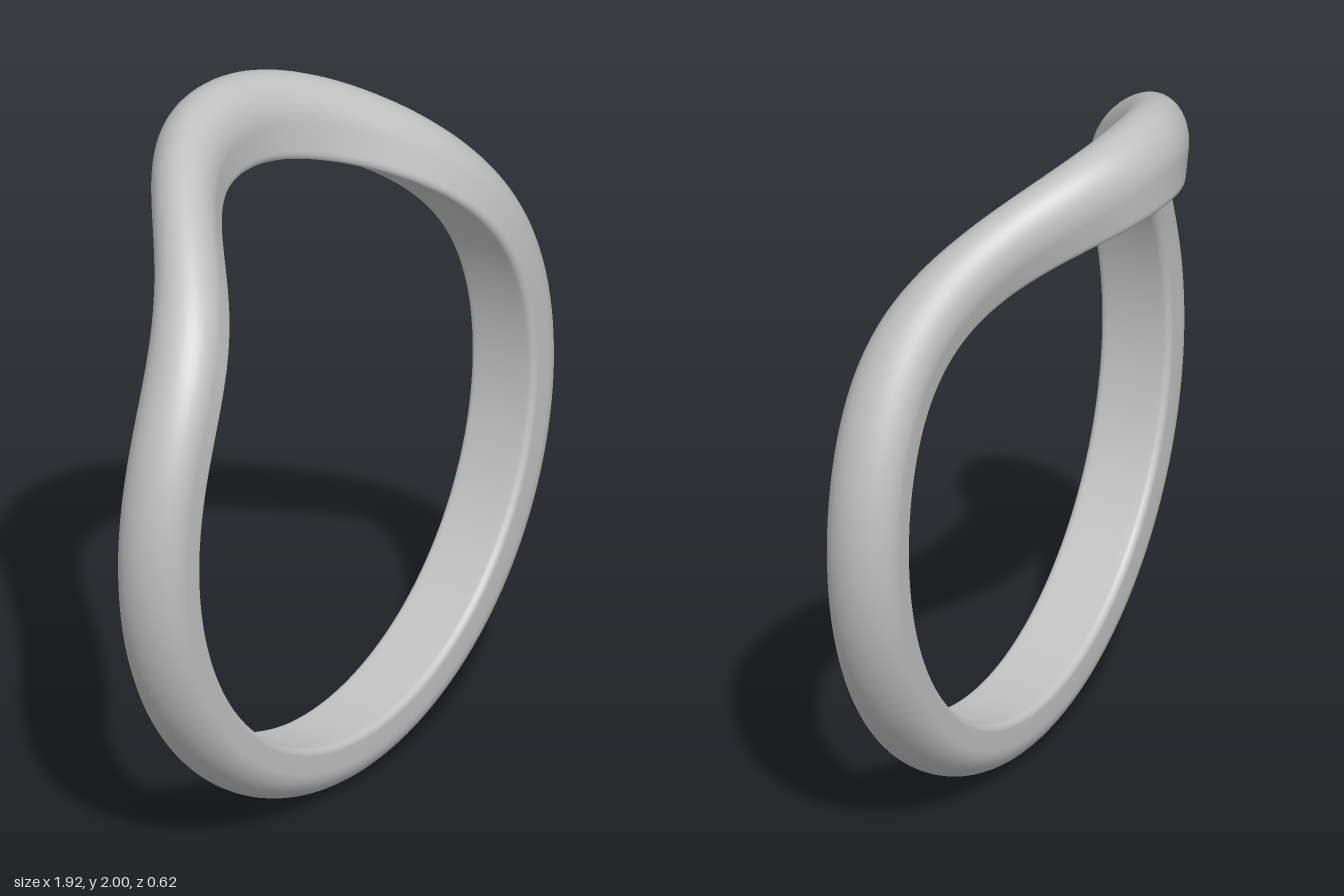
import * as THREE from 'three';

const CENTRE_Y = 0.962, INNER = 0.798, HALF_WIDTH = 0.108;

// Cross-section as [z offset, share of the thickness]: domed outside, flat inside, soft inner edges
function bandProfile() {
  const pts = [];
  for (let k = 0; k <= 20; k++) {
    const a = (k / 20) * Math.PI;
    pts.push([HALF_WIDTH * Math.cos(a), 0.45 + 0.55 * Math.sin(a)]);
  }
  const bz = 0.02, bv = 0.12;
  for (const side of [-1, 1]) {
    for (let k = 0; k <= 4; k++) {
      const a = ((side < 0 ? k : 4 - k) / 4) * Math.PI / 2;
      pts.push([side * (HALF_WIDTH - bz + bz * Math.cos(a)), bv * (1 - Math.sin(a))]);
    }
    if (side < 0) for (const z of [-0.06, 0, 0.06]) pts.push([z, 0]);
  }
  return pts;
}

// Sweep the profile round the ring; the top swings backward and thickens
function bandGeometry(segments = 240) {
  const profile = bandProfile(), n = profile.length;
  const pos = [], index = [];
  for (let i = 0; i < segments; i++) {
    const t = (i / segments) * Math.PI * 2 - Math.PI;
    const bend = Math.exp(-Math.pow(Math.abs(t) / 0.602, 2.2));
    const zMid = 0.2 - 0.4 * bend;
    const thick = 0.162 + 0.078 * bend;
    for (let j = 0; j < n; j++) {
      const r = INNER + thick * profile[j][1];
      pos.push(r * Math.sin(t), CENTRE_Y + r * Math.cos(t), zMid + profile[j][0]);
      const i2 = (i + 1) % segments, j2 = (j + 1) % n;
      const a = i * n + j, b = i2 * n + j, c = i2 * n + j2, d = i * n + j2;
      index.push(a, b, d, b, c, d);
    }
  }
  const g = new THREE.BufferGeometry();
  g.setAttribute('position', new THREE.Float32BufferAttribute(pos, 3));
  g.setIndex(index);
  g.computeVertexNormals();
  return g;
}

export function createModel() {
  const silver = new THREE.MeshStandardMaterial({ color: 0xc0c0c0 });
  silver.name = 'silver grey';
  const band = new THREE.Mesh(bandGeometry(), silver);
  band.name = 'curvedRingBand';
  const group = new THREE.Group();
  group.name = 'ring';
  group.add(band);
  return group;
}
